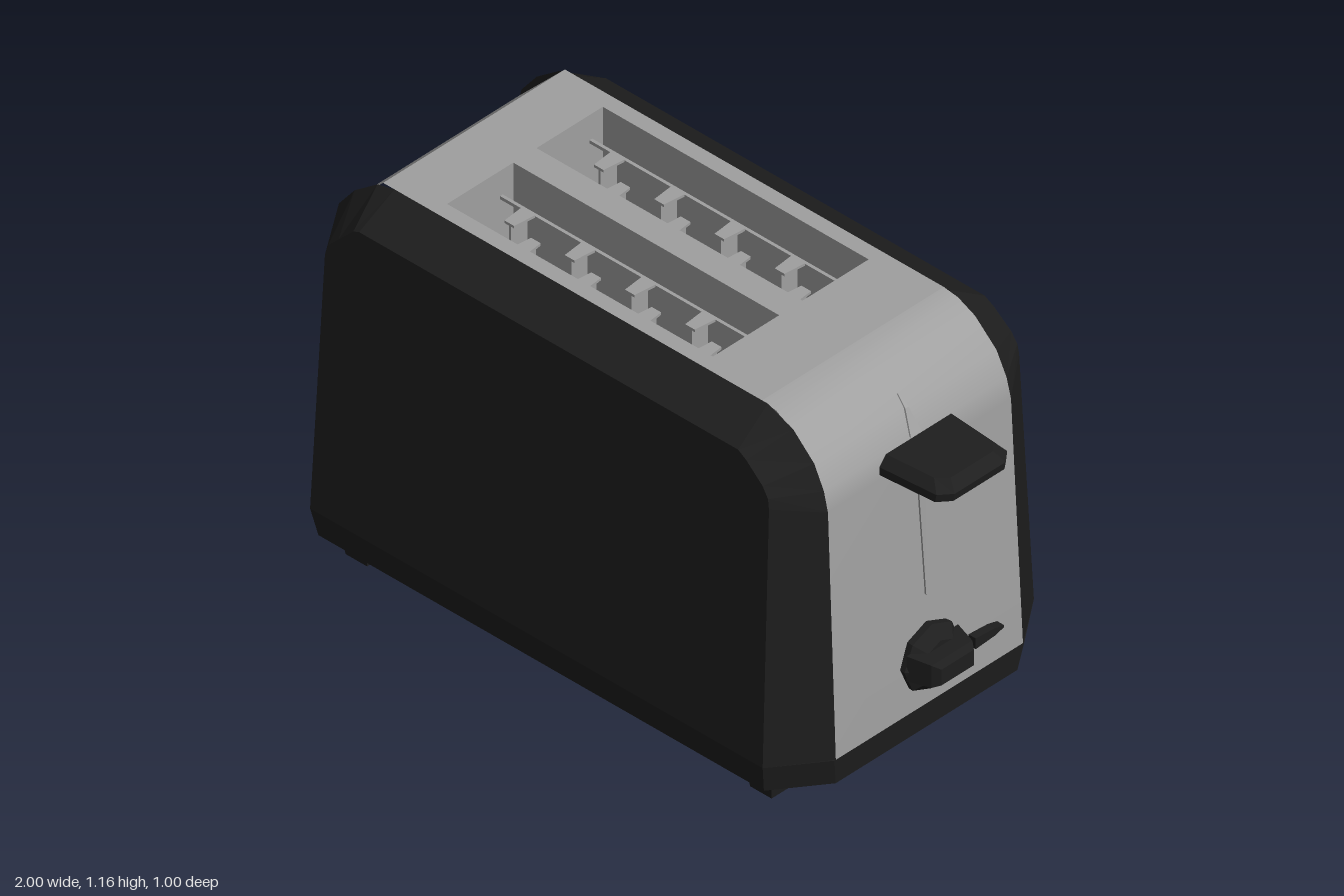
import * as THREE from 'three';

const steel = new THREE.MeshStandardMaterial({ color: 0xa0a0a0 });
steel.name = 'brushedSteel';
const black = new THREE.MeshStandardMaterial({ color: 0x1e1e1e });
black.name = 'blackPlastic';

// Flat-shaded closed solid through rings of equal point count, turned outwards by its volume
function loft(rings) {
  const tris = [];
  const n = rings[0].length;
  const centre = (r) => r.reduce((s, p) => s.map((v, k) => v + p[k] / n), [0, 0, 0]);
  const first = rings[0], last = rings[rings.length - 1];
  for (let i = 0; i < n; i++) {
    const j = (i + 1) % n;
    for (let k = 0; k + 1 < rings.length; k++) {
      const a = rings[k], b = rings[k + 1];
      tris.push([a[i], a[j], b[j]], [a[i], b[j], b[i]]);
    }
    tris.push([centre(last), last[i], last[j]], [centre(first), first[j], first[i]]);
  }
  const origin = new THREE.Vector3(...centre(first));
  const v = (p) => new THREE.Vector3(...p).sub(origin);
  const volume = tris.reduce((s, [a, b, c]) => s + v(a).dot(v(b).cross(v(c))), 0);
  if (volume < 0) tris.forEach((t) => t.reverse());
  const geo = new THREE.BufferGeometry();
  geo.setAttribute('position', new THREE.Float32BufferAttribute(tris.flat(2), 3));
  geo.computeVertexNormals();
  return geo;
}

// Half width of the steel shell, slightly narrower towards the top
const shellZ = (y) => 0.345 - 0.01 * (y - 0.165);

// Sheet that follows a profile downwards across the width of the body
function wall(points, side, smooth) {
  let geo = new THREE.PlaneGeometry(2, 1, 1, points.length - 1);
  const pos = geo.attributes.position;
  for (let i = 0; i < pos.count; i++) {
    const [x, y] = points[Math.floor(i / 2)];
    pos.setXYZ(i, x, y, -side * shellZ(y) * pos.getX(i));
  }
  if (!smooth) geo = geo.toNonIndexed();
  geo.computeVertexNormals();
  return geo;
}

// Box without a lid whose faces look inwards
function openWell(w, h, d) {
  const geo = new THREE.BoxGeometry(w, h, d).scale(1, -1, 1);
  const index = Array.from(geo.index.array);
  index.splice(18, 6);
  geo.setIndex(index);
  geo.clearGroups();
  geo.computeVertexNormals();
  return geo;
}

export function createModel() {
  const model = new THREE.Group();
  model.name = 'toaster';
  const add = (name, geo, mat, x = 0, y = 0, z = 0) => {
    const mesh = new THREE.Mesh(geo, mat);
    mesh.name = name;
    mesh.position.set(x, y, z);
    model.add(mesh);
  };
  const box = (name, mat, size, at) => add(name, new THREE.BoxGeometry(...size), mat, ...at);

  // Black side panels: rounded rim bevelled out to a leaning flat face
  const rim = [[-1, 0.165], [0.82, 0.165], [0.785, 0.93], [0.77, 0.99], [0.735, 1.06],
    [0.66, 1.13], [0.57, 1.165], [-0.75, 1.165], [-0.81, 1.15], [-0.89, 1.09], [-0.945, 1.02], [-0.97, 0.92]];
  const face = [[-0.89, 0.165], [0.71, 0.165], [0.695, 0.96], [0.69, 0.99], [0.67, 1.02],
    [0.61, 1.07], [0.58, 1.088], [-0.76, 1.088], [-0.78, 1.08], [-0.83, 1.03], [-0.865, 0.995], [-0.875, 0.96]];
  for (const s of [1, -1]) {
    add(s > 0 ? 'frontPanel' : 'backPanel', loft([
      rim.map(([x, y]) => [x, y, s * shellZ(y)]),
      face.map(([x, y]) => [x, y, s * (0.5 - 0.049 * (y - 0.165))]),
    ]), black);
  }

  // Base tray with cut corners
  const tray = (y, x0, x1, z, c) => [[x0, z - 0.15], [x0 + c, z], [x1 - c, z], [x1, z - 0.15],
    [x1, 0.15 - z], [x1 - c, -z], [x0 + c, -z], [x0, 0.15 - z]].map(([x, w]) => [x, y, w]);
  add('base', loft([tray(0.08, -0.985, 0.81, 0.485, 0.11), tray(0.165, -1, 0.82, 0.5, 0.11)]), black);

  // Steel shell: faceted left end, rounded right end, top with two slots
  add('leftEnd', wall([[-0.79, 1.165], [-0.95, 1.0], [-0.97, 0.92], [-1, 0.165]], -1, false), steel);
  add('rightEnd', wall([[0.55, 1.165], [0.6, 1.158], [0.66, 1.13], [0.735, 1.06], [0.77, 0.99],
    [0.785, 0.93], [0.82, 0.165]], 1, true), steel);
  const rect = (path, x0, x1, y0, y1) =>
    path.moveTo(x0, y0).lineTo(x1, y0).lineTo(x1, y1).lineTo(x0, y1).closePath();
  const top = rect(new THREE.Shape(), -0.79, 0.55, -0.335, 0.335);
  for (const s of [1, -1]) top.holes.push(rect(new THREE.Path(), -0.61, 0.33, s * 0.165 - 0.122, s * 0.165 + 0.122));
  add('topPlate', new THREE.ShapeGeometry(top).rotateX(-Math.PI / 2), steel, 0, 1.165, 0);

  // Bread slots: open wells, guide rails, alternating fingers and a carriage
  for (const s of [1, -1]) {
    const zc = s * 0.165;
    add('slotWell', openWell(0.94, 0.6, 0.244), steel, -0.14, 0.865, zc);
    box('carriage', steel, [0.92, 0.02, 0.04], [-0.14, 0.62, zc]);
    for (const side of [1, -1]) {
      box('guideRail', steel, [0.94, 0.01, 0.01], [-0.14, 1.08, zc + side * 0.078]);
      for (let i = 0; i < 4; i++) {
        const x = (side < 0 ? -0.51 : -0.41) + i * 0.213;
        const tab = (z, w) => [[-w, 1.08], [w, 1.08], [w, 1.088], [-w, 1.088]]
          .map(([dx, y]) => [x + dx, y, zc + side * z]);
        add('guideTab', loft([tab(0.072, 0.024), tab(0.003, 0.017)]), steel);
        box('guideBlade', steel, [0.008, 0.45, 0.06], [x, 0.86, zc + side * 0.036]);
      }
    }
  }

  // Lever handle on the right end
  const lever = (y, z, x1) => [[0.782, -z], [x1 - 0.03, -z * 0.9], [x1, -z * 0.65],
    [x1, z * 0.65], [x1 - 0.03, z * 0.9], [0.782, z]].map(([x, w]) => [x, y, w]);
  add('leverHandle', loft([lever(0.92, 0.11, 0.965), lever(0.945, 0.145, 0.995),
    lever(0.97, 0.145, 1.0), lever(0.998, 0.12, 0.97)]), black);
  box('leverStem', black, [0.06, 0.04, 0.07], [0.765, 0.955, 0]);

  // Steel crease under the lever narrowing downwards, and a small peak above it
  const crease = (x, y, w) => [[-0.01, -w], [0.005, -w], [0.005, w], [-0.01, w]].map(([dx, z]) => [x + dx, y, z]);
  add('leverCrease', loft([crease(0.786, 0.92, 0.015), crease(0.805, 0.5, 0.001)]), steel);
  add('leverPeak', loft([crease(0.769, 0.992, 0.02), crease(0.736, 1.06, 0.006), crease(0.705, 1.088, 0.001)]), steel);

  // Browning knob: dial, tapered front and a raised grip
  const dial = (x, r) => Array.from({ length: 8 }, (_, i) => {
    const a = i * Math.PI / 4;
    return [x, 0.315 + r * Math.cos(a), r * Math.sin(a)];
  });
  add('knobDial', loft([dial(0.8, 0.1), dial(0.83, 0.102), dial(0.86, 0.065)]), black);
  const grip = (x, h, w) => [[-h, -w], [h, -w], [h, w], [-h, w]].map(([y, z]) => [x, y + 0.325, z]);
  add('knobGrip', loft([grip(0.83, 0.04, 0.095), grip(0.9, 0.035, 0.075), grip(0.92, 0.025, 0.06)]), black);

  // Small pointed button beside the knob
  const button = (z, h) => [[0.8, -h], [0.84, -h], [0.84, h], [0.8, h]].map(([x, y]) => [x, 0.278 + y, z]);
  add('sideButton', loft([button(-0.15, 0.017), button(-0.22, 0.012), button(-0.255, 0.003)]), black);

  // Feet
  const foot = (x, z, y, r) => [[-r, -r], [r, -r], [r, r], [-r, r]].map(([a, b]) => [x + a, y, z + b]);
  for (const x of [-0.805, 0.625]) for (const z of [0.38, -0.38]) {
    add('foot', loft([foot(x, z, 0, 0.038), foot(x, z, 0.082, 0.049)]), black);
  }

  // Crumb tray under the base with side lips and vent bars
  const plate = (y, x0, x1, z) => [[x0, y, -z], [x1, y, -z], [x1, y, z], [x0, y, z]];
  add('crumbTray', loft([plate(0.081, -0.7, 0.5, 0.22), plate(0.068, -0.68, 0.48, 0.22),
    plate(0.059, -0.52, 0.41, 0.22)]), black);
  add('trayLip', loft([plate(0.064, -0.5, 0.4, 0.27), plate(0.057, -0.5, 0.4, 0.22)]), black);
  for (const x of [-0.4, 0.22]) {
    for (let i = 0; i < 6; i++) box('ventBar', black, [0.16, 0.004, 0.012], [x, 0.056, -0.12 + i * 0.048]);
  }
  return model;
}
